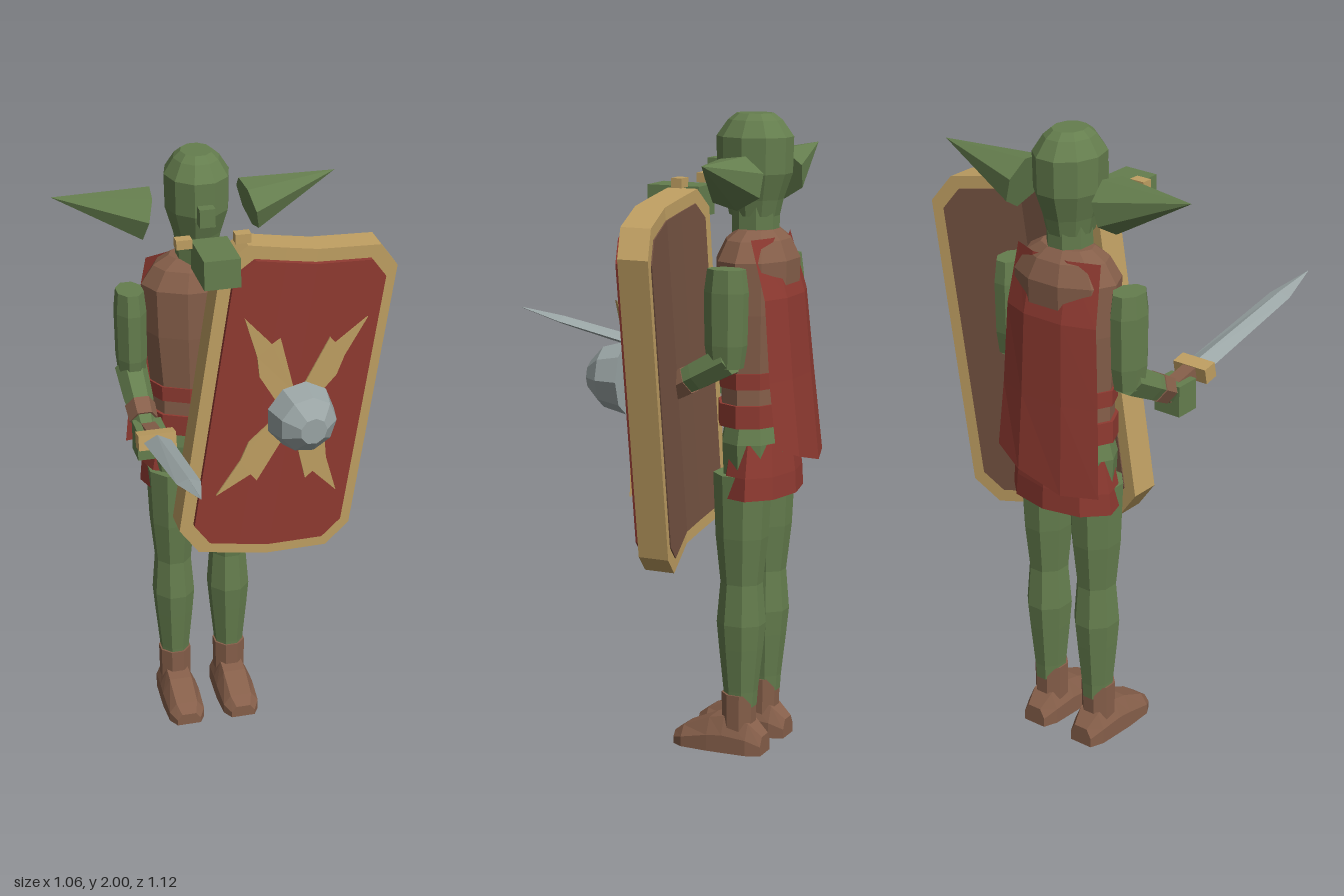
import * as THREE from 'three';

const mat = (name, color) => {
  const m = new THREE.MeshStandardMaterial({ color });
  m.name = name;
  return m;
};

// Faceted normals for the low-poly look
function facet(geo) {
  const g = geo.index ? geo.toNonIndexed() : geo;
  g.computeVertexNormals();
  return g;
}

// Elliptical lathe, profile listed bottom to top as [y, radius]
function turned(profile, sides, depth = 1) {
  const pts = profile.map(([y, r]) => new THREE.Vector2(r, y));
  pts.unshift(new THREE.Vector2(0, profile[0][0]));
  pts.push(new THREE.Vector2(0, profile[profile.length - 1][0]));
  const g = new THREE.LatheGeometry(pts, sides, Math.PI / sides);
  g.scale(1, 1, depth);
  return facet(g);
}

// Closed skin over rings that run counter-clockwise around the direction of travel
function loft(rings) {
  const pos = [], n = rings[0].length;
  const tri = (...p) => p.forEach(q => pos.push(...q));
  for (let i = 0; i + 1 < rings.length; i++) {
    for (let j = 0; j < n; j++) {
      const k = (j + 1) % n;
      const a = rings[i][j], b = rings[i][k], c = rings[i + 1][k], d = rings[i + 1][j];
      tri(a, b, c);
      tri(a, c, d);
    }
  }
  const s = rings[0], e = rings[rings.length - 1];
  for (let j = 1; j + 1 < n; j++) {
    tri(s[0], s[j + 1], s[j]);
    tri(e[0], e[j], e[j + 1]);
  }
  const g = new THREE.BufferGeometry();
  g.setAttribute('position', new THREE.Float32BufferAttribute(pos, 3));
  return facet(g);
}

// Depth of the bent shield face across its width
function bend(u) {
  if (u < 0) return -0.122 - 0.03 * Math.max(0, -u - 0.1);
  return -0.122 - 0.27 * u;
}

// Bent slab with cut corners, from z offset back to z offset front
function slab(w, h, cut, back, front) {
  const us = [-w, -w + cut, -0.1, 0, 0.1, w - cut, w];
  return loft(us.map(u => {
    const y = Math.abs(u) === w ? h - cut : h, z = bend(u);
    return [[u, y, z + back], [u, y, z + front], [u, -y, z + front], [u, -y, z + back]];
  }));
}

export function createModel() {
  const green = mat('green skin', 0x657e4e);
  const brown = mat('brown leather', 0x865f4a);
  const dark = mat('shield backing brown', 0x755342);
  const red = mat('red cloth', 0x8f3a31);
  const gold = mat('gold', 0xbf9f62);
  const steel = mat('steel', 0x9aa5a5);
  const cloth = mat('red cape', 0x8f3a31);
  cloth.side = THREE.DoubleSide;

  const root = new THREE.Group();
  const body = new THREE.Group();
  body.name = 'body';
  body.position.set(-0.09, 0, 0);
  root.add(body);

  const add = (parent, name, geo, m, x = 0, y = 0, z = 0) => {
    const mesh = new THREE.Mesh(geo, m);
    mesh.name = name;
    mesh.position.set(x, y, z);
    parent.add(mesh);
    return mesh;
  };
  const box = (w, h, d) => new THREE.BoxGeometry(w, h, d);

  // Head, neck and face pieces
  add(body, 'head', turned([[1.69, 0.068], [1.74, 0.078], [1.82, 0.102], [1.93, 0.104], [1.98, 0.073], [2, 0.05]], 10, 1.16), green, 0, 0, -0.37);
  add(body, 'neck', turned([[1.6, 0.07], [1.74, 0.07]], 8, 1.05), green, 0, 0, -0.375);
  add(body, 'nose', box(0.05, 0.06, 0.05), green, 0, 1.83, -0.247);
  add(body, 'jaw', box(0.115, 0.095, 0.175), green, 0, 1.725, -0.122);

  // Torso, belts, hips and skirt
  add(body, 'tunic', turned([[1.05, 0.155], [1.2, 0.155], [1.4, 0.175], [1.56, 0.18], [1.62, 0.14], [1.65, 0.09]], 10, 0.68), brown, 0, 0, -0.385);
  add(body, 'upperBelt', turned([[1.17, 0.164], [1.22, 0.164]], 10, 0.68), red, 0, 0, -0.385);
  add(body, 'lowerBelt', turned([[1.05, 0.166], [1.12, 0.166]], 10, 0.68), red, 0, 0, -0.385);
  add(body, 'hips', turned([[0.85, 0.165], [1.0, 0.175], [1.06, 0.158]], 10, 0.62), green, 0, 0, -0.395);
  add(body, 'skirt', turned([[0.83, 0.193], [0.9, 0.187], [1.0, 0.165]], 9, 0.58), red, 0, 0, -0.408);

  for (const s of [-1, 1]) {
    const side = s > 0 ? 'left' : 'right';
    add(body, side + 'Eye', box(0.05, 0.03, 0.035), gold, s * 0.093, 1.787, -0.16);

    // Ear
    const ear = new THREE.ConeGeometry(0.085, 0.3, 7);
    ear.scale(1, 1, 1.12);
    const earMesh = add(body, side + 'Ear', facet(ear), green, s * 0.31, 1.84, -0.386);
    earMesh.quaternion.setFromUnitVectors(new THREE.Vector3(0, 1, 0), new THREE.Vector3(s * 0.29, 0.076, -0.022).normalize());

    // Arm bent at the elbow, fist forward
    add(body, side + 'UpperArm', turned([[1.25, 0.042], [1.32, 0.05], [1.48, 0.052], [1.55, 0.045]], 8, 1.35), green, s * 0.22, 0, -0.375);
    const fore = turned([[0, 0.052], [0.12, 0.048], [0.26, 0.034]], 6);
    const cuff = turned([[0.15, 0.049], [0.21, 0.046]], 6);
    for (const [name, g, m] of [['Forearm', fore, green], ['Cuff', cuff, brown]]) {
      const arm = add(body, side + name, g, m, s * 0.22, 1.275, -0.385);
      arm.rotation.x = Math.PI / 2 + 0.5;
    }
    add(body, side + 'Fist', box(0.093, 0.1, 0.085), green, s * 0.215, 1.135, -0.143);

    // Leg and boot
    const lx = s * 0.095;
    add(body, side + 'Leg', turned([[0.15, 0.047], [0.2, 0.05], [0.34, 0.064], [0.42, 0.071], [0.55, 0.061], [0.7, 0.076], [0.9, 0.084]], 8, 1.1), green, lx, 0, -0.38);
    add(body, side + 'BootShaft', turned([[0.05, 0.053], [0.19, 0.055]], 8), brown, lx, 0, -0.375);
    const shoe = [[-0.465, 0.06, 0.04], [-0.42, 0.1, 0.057], [-0.34, 0.115, 0.061], [-0.29, 0.105, 0.063], [-0.2, 0.065, 0.06], [-0.165, 0.04, 0.04]];
    add(body, side + 'Shoe', loft(shoe.map(([z, h, w]) =>
      [[w, 0, z], [w, h * 0.5, z], [w * 0.6, h, z], [-w * 0.6, h, z], [-w, h * 0.5, z], [-w, 0, z]])), brown, lx);
  }

  // Cape as a folded sheet hanging from the shoulders
  const cape = new THREE.PlaneGeometry(1, 1, 3, 3);
  const cp = cape.attributes.position;
  const rowY = [1.63, 1.45, 1.2, 0.94], rowZ = [-0.46, -0.51, -0.53, -0.555];
  for (let i = 0; i < cp.count; i++) {
    const r = Math.floor(i / 4), c = i % 4;
    const x = [-0.155, -0.06, 0.07, 0.155][c] * (1 + r * 0.08) - r * 0.008;
    const edge = c === 0 || c === 3 ? 0.035 : 0;
    cp.setXYZ(i, x, rowY[r] + (r === 3 ? [-0.01, -0.02, 0.02, 0.06][c] : 0), rowZ[r] + edge);
  }
  add(body, 'cape', facet(cape), cloth);

  // Sword, pointing forward and slightly up
  const sword = new THREE.Group();
  sword.name = 'sword';
  sword.position.set(-0.305, 1.185, -0.045);
  sword.rotation.x = -0.2;
  root.add(sword);
  const blade = [[0.02, 0.044, 0.022], [0.46, 0.037, 0.014], [0.62, 0.001, 0.001]];
  add(sword, 'blade', loft(blade.map(([z, w, t]) => [[w, 0, z], [0, t, z], [-w, 0, z], [0, -t, z]])), steel);
  add(sword, 'guard', box(0.12, 0.05, 0.05), gold);
  add(sword, 'grip', box(0.046, 0.046, 0.14), brown, 0, 0, -0.09);

  // Shield, leaning on its side
  const shield = new THREE.Group();
  shield.name = 'shield';
  shield.position.set(0.152, 1.203, 0);
  shield.rotation.z = -0.155;
  root.add(shield);
  add(shield, 'shieldRim', slab(0.3, 0.54, 0.075, -0.098, 0), gold);
  add(shield, 'shieldFace', slab(0.258, 0.497, 0.06, -0.01, 0.017), red);
  add(shield, 'shieldBack', slab(0.262, 0.5, 0.06, -0.102, -0.09), dark);

  // Four barbed rays bent to follow the shield face
  const ray = [[0.06, -0.035], [0.17, -0.045], [0.235, -0.022], [0.375, 0], [0.25, 0.038], [0.255, 0.07], [0.06, 0.03]];
  for (const [sx, sy] of [[1, 1], [-1, 1], [-1, -1], [1, -1]]) {
    const shape = new THREE.Shape(ray.map(([a, b]) => {
      const t = 0.977;
      return new THREE.Vector2(sx * (a * Math.cos(t) - b * Math.sin(t)), sy * (a * Math.sin(t) + b * Math.cos(t)));
    }));
    const g = new THREE.ExtrudeGeometry(shape, { depth: 0.006, bevelEnabled: false });
    const p = g.attributes.position;
    for (let i = 0; i < p.count; i++) p.setZ(i, p.getZ(i) + bend(p.getX(i)) + 0.032);
    add(shield, 'shieldRay', facet(g), gold);
  }

  // Boss
  const boss = turned([[0, 0.115], [0.075, 0.095], [0.122, 0.045]], 9);
  boss.rotateX(Math.PI / 2);
  add(shield, 'shieldBoss', boss, steel, 0.014, 0, -0.065).rotation.y = 0.1;

  return root;
}
